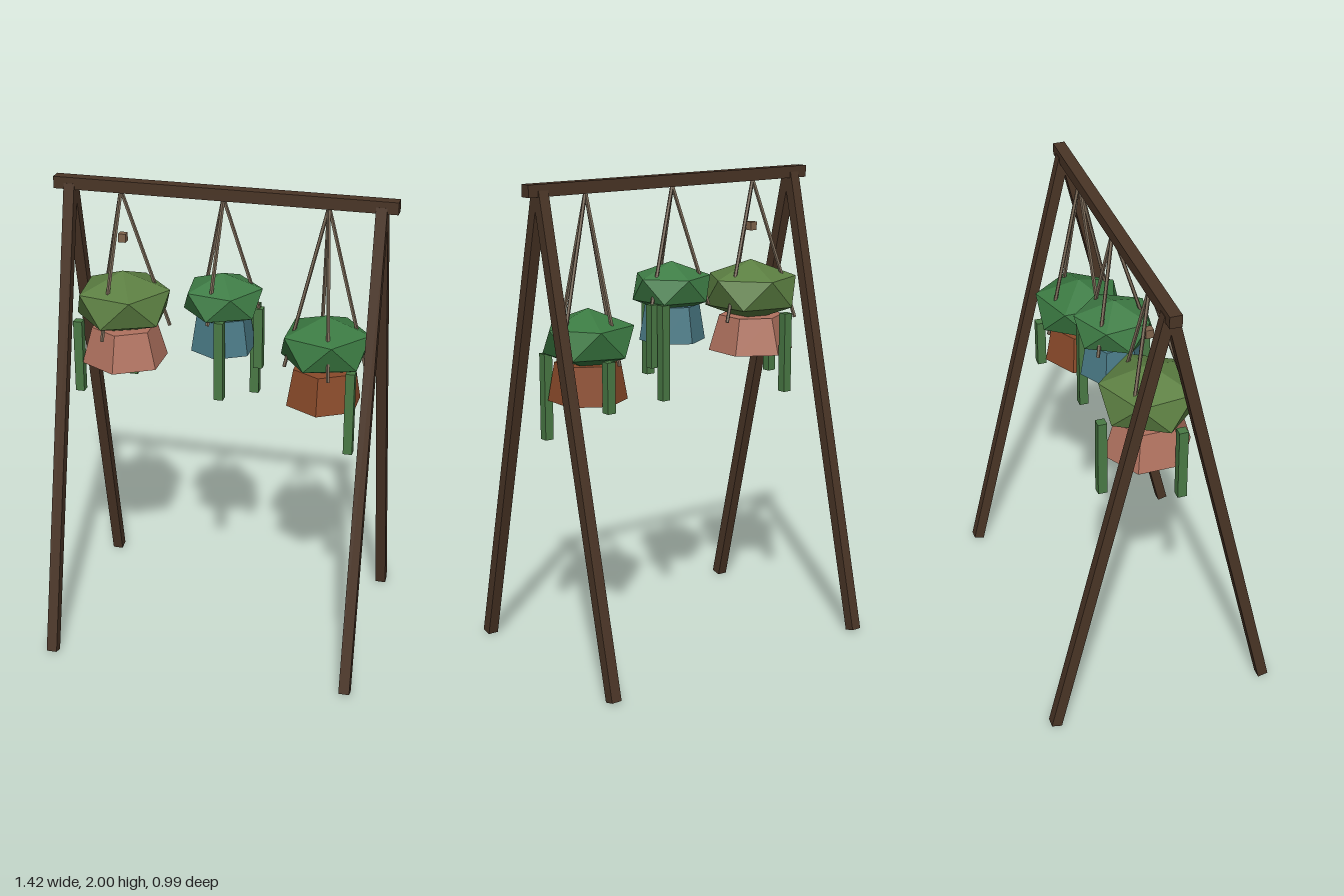
import * as THREE from 'three';

const mat = (color) => new THREE.MeshStandardMaterial({ color, flatShading: true });
const wood = mat(0x4a3526), ropeMat = mat(0x7a6a58), vineMat = mat(0x4a7a45);
const DEG = Math.PI / 180;

function add(parent, name, geometry, material, x = 0, y = 0, z = 0) {
  const mesh = new THREE.Mesh(geometry, material);
  mesh.name = name;
  mesh.position.set(x, y, z);
  parent.add(mesh);
  return mesh;
}

// A geometry of unit height along y, stretched between two points
function between(parent, name, geometry, material, a, b) {
  const dir = b.clone().sub(a);
  const mesh = add(parent, name, geometry, material);
  mesh.position.copy(a).add(b).multiplyScalar(0.5);
  mesh.scale.y = dir.length();
  mesh.quaternion.setFromUnitVectors(new THREE.Vector3(0, 1, 0), dir.normalize());
  return mesh;
}

// Squashed icosahedron standing on a vertex, turned by yaw
function foliageGeometry(radius, halfHeight, yaw) {
  const g = new THREE.IcosahedronGeometry(1, 0);
  g.rotateX(-Math.atan2(1 + Math.sqrt(5), 2));
  g.rotateY(yaw * DEG);
  g.scale(radius, halfHeight, radius);
  return g;
}

// vines: [x, z, bottom]
const planters = [
  { x: -0.43, pot: [0.14, 0.185, 1.215, 1.37], potColor: 0xb0725f,
    leaf: [0.222, 0.135, 24], leafY: 1.475, leafZ: 0.005, leafColor: 0x5c7f42,
    ropes: 3, ropeYaw: -12, ropeEnd: [0.19, 1.36],
    vineTop: 1.4, vines: [[-0.605, 0.08, 1.085], [-0.455, -0.2, 1.06]] },
  { x: 0, pot: [0.115, 0.139, 1.31, 1.46], potColor: 0x4a7a86,
    leaf: [0.183, 0.11, 25], leafY: 1.53, leafZ: 0.005, leafColor: 0x3f7d46,
    ropes: 3, ropeYaw: -11, ropeEnd: [0.153, 1.46],
    vineTop: 1.48, vines: [[0.02, 0.145, 1.14], [0.115, -0.095, 1.08], [0.14, -0.05, 1.215]] },
  { x: 0.43, pot: [0.135, 0.163, 1.11, 1.27], potColor: 0x8a4a2a,
    leaf: [0.208, 0.128, 18], leafY: 1.362, leafZ: -0.008, leafColor: 0x3b7a42,
    ropes: 4, ropeYaw: 16, ropeEnd: [0.167, 1.27],
    vineTop: 1.3, vines: [[0.56, 0.11, 0.94], [0.45, -0.18, 1.09]] },
];

function makePlanter(p) {
  const group = new THREE.Group();
  group.name = 'hangingPlanter';

  // Six-sided pot and its plant
  const [rTop, rBottom, y0, y1] = p.pot;
  add(group, 'pot', new THREE.CylinderGeometry(rTop, rBottom, y1 - y0, 6), mat(p.potColor), p.x, (y0 + y1) / 2);
  add(group, 'foliage', foliageGeometry(...p.leaf), mat(p.leafColor), p.x, p.leafY, p.leafZ);

  // Ropes gathered at the beam
  const hook = new THREE.Vector3(p.x, 1.955, 0);
  const [ropeRadius, ropeY] = p.ropeEnd;
  for (let i = 0; i < p.ropes; i++) {
    const a = (p.ropeYaw + (i * 360) / p.ropes) * DEG;
    const end = new THREE.Vector3(p.x + ropeRadius * Math.sin(a), ropeY, ropeRadius * Math.cos(a));
    between(group, 'rope', new THREE.CylinderGeometry(0.008, 0.008, 1, 5), ropeMat, hook, end);
  }

  // Trailing vines
  for (const [x, z, bottom] of p.vines) {
    const h = p.vineTop - bottom;
    add(group, 'vine', new THREE.BoxGeometry(0.038, h, 0.038), vineMat, x, bottom + h / 2, z);
  }
  return group;
}

export function createModel() {
  const model = new THREE.Group();
  model.name = 'hangingPlanterStand';

  // Top beam and splayed legs
  add(model, 'beam', new THREE.BoxGeometry(1.42, 0.05, 0.05), wood, 0, 1.975, 0);
  for (const sx of [-1, 1]) {
    for (const sz of [-1, 1]) {
      between(model, 'leg', new THREE.BoxGeometry(0.045, 1, 0.045), wood,
        new THREE.Vector3(sx * 0.643, 0.006, sz * 0.472),
        new THREE.Vector3(sx * 0.643, 1.97, sz * 0.005));
    }
  }

  for (const p of planters) model.add(makePlanter(p));

  // Small knot above the first planter
  add(model, 'knot', new THREE.BoxGeometry(0.032, 0.036, 0.032), mat(0x80644c), -0.427, 1.755, 0);

  return model;
}
